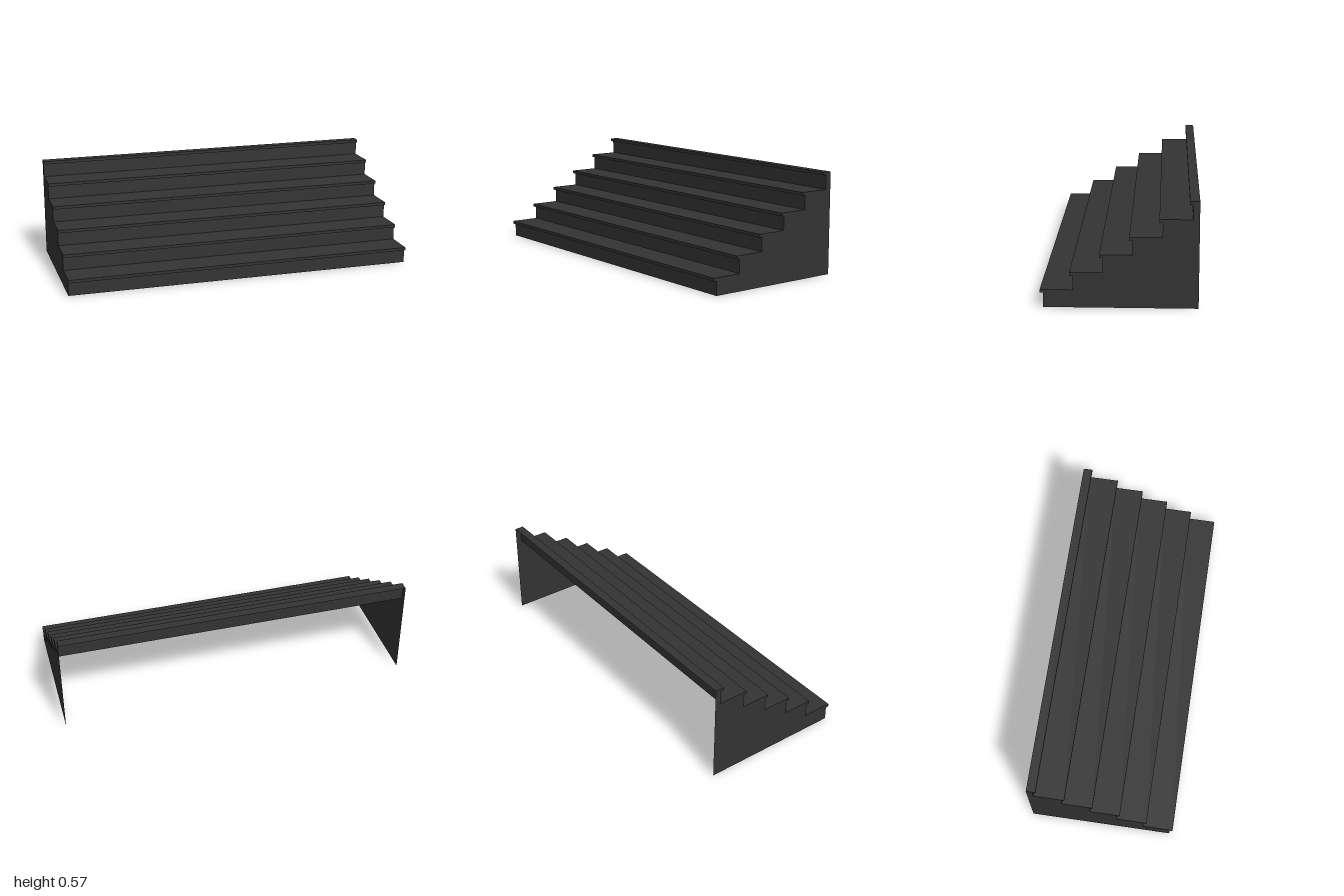
import * as THREE from 'three';

const STEPS = 6, RISE = 0.0955, RUN = 0.1545, NOSE = 0.017;
const FRONT = 0.412, BACK = -0.412, HALF_WIDTH = 1;

export function createModel() {
  const group = new THREE.Group();
  group.name = 'staircase';
  const charcoal = new THREE.MeshStandardMaterial({ color: 0x333333, side: THREE.DoubleSide });
  charcoal.name = 'charcoal';

  const add = (name, geometry) => {
    const mesh = new THREE.Mesh(geometry, charcoal);
    mesh.name = name;
    group.add(mesh);
    return mesh;
  };

  // Flat sheets across the full width, following a path of [z, y] points
  const sheet = (name, path) => {
    const positions = [];
    for (let i = 0; i + 1 < path.length; i++) {
      const [z0, y0] = path[i], [z1, y1] = path[i + 1], w = HALF_WIDTH;
      positions.push(-w, y0, z0, w, y0, z0, w, y1, z1, -w, y0, z0, w, y1, z1, -w, y1, z1);
    }
    const geometry = new THREE.BufferGeometry();
    geometry.setAttribute('position', new THREE.Float32BufferAttribute(positions, 3));
    geometry.computeVertexNormals();
    add(name, geometry);
  };

  // Each step: riser, overhanging nosing, tread
  const profile = [];
  for (let i = 0; i < STEPS; i++) {
    const nose = FRONT - i * RUN, riser = nose - NOSE;
    const bottom = i * RISE, top = bottom + RISE;
    const treadEnd = i === STEPS - 1 ? BACK : riser - RUN;
    sheet(`riser${i + 1}`, [[riser, bottom], [riser, top - NOSE]]);
    sheet(`nosing${i + 1}`, [[riser, top - NOSE], [nose, top - NOSE], [nose, top]]);
    sheet(`tread${i + 1}`, [[nose, top], [treadEnd, top]]);
    profile.push([riser, bottom], [riser, top - NOSE], [nose, top - NOSE], [nose, top]);
  }
  profile.push([BACK, STEPS * RISE], [BACK, 0]);

  // Stepped side walls; the back and the underside stay open
  for (const side of [-1, 1]) {
    const outline = new THREE.Shape(profile.map(([z, y]) => new THREE.Vector2(-side * z, y)));
    const wall = add(side > 0 ? 'leftWall' : 'rightWall', new THREE.ShapeGeometry(outline));
    wall.rotation.y = side * Math.PI / 2;
    wall.position.x = side * HALF_WIDTH;
  }
  return group;
}
